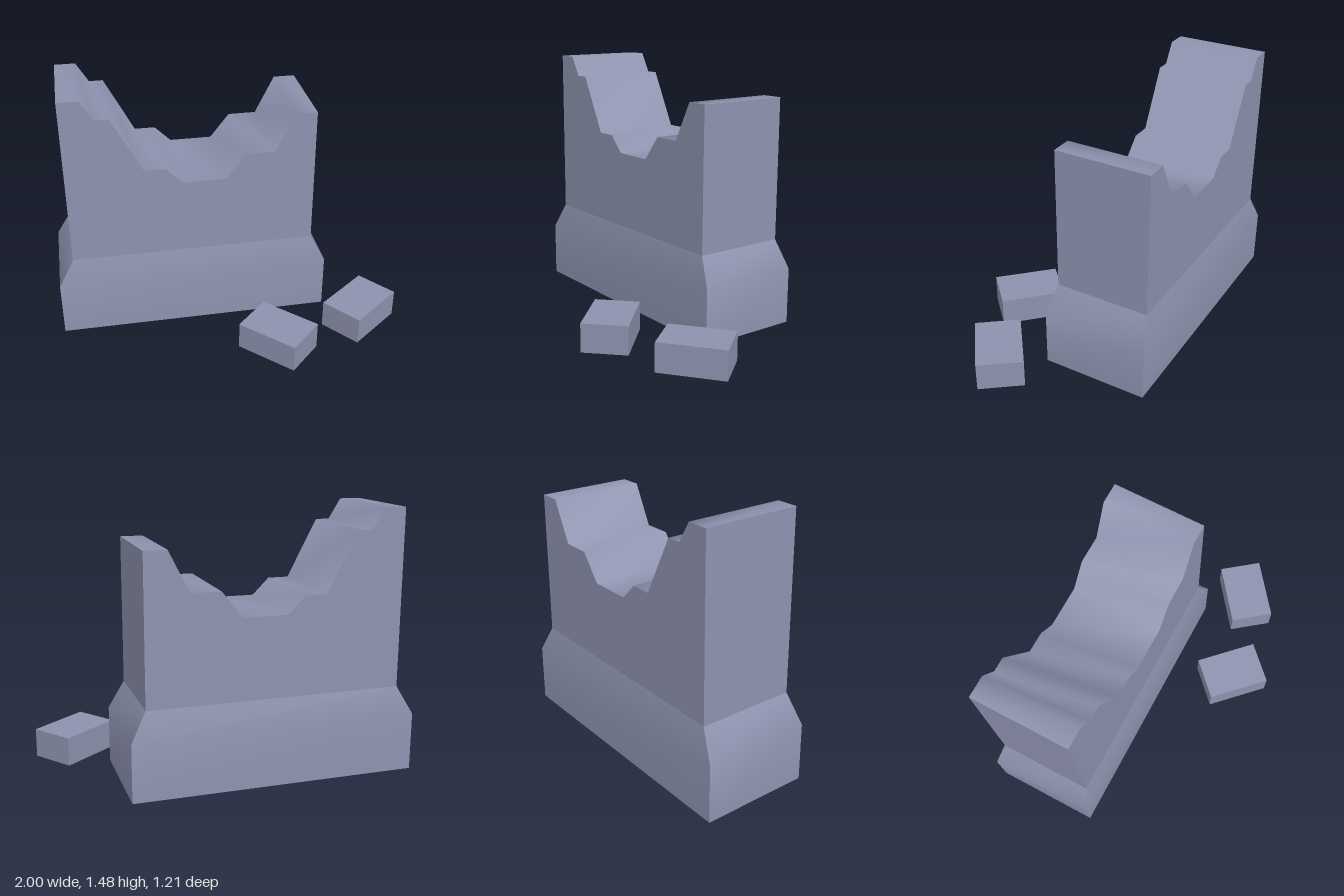
import * as THREE from 'three';
import { toCreasedNormals } from 'three/addons/utils/BufferGeometryUtils.js';

const stone = new THREE.MeshStandardMaterial({ color: 0x8d92ae });
stone.name = 'greyBlueStone';

function part(name, geometry, crease) {
  const mesh = new THREE.Mesh(toCreasedNormals(geometry, crease), stone);
  mesh.name = name;
  return mesh;
}

// Plinth: a box whose upper ring is drawn in to form a sloped shoulder
function plinth() {
  const rings = [
    { y: 0, w: 1.6, d: 0.612, x: -0.2 },
    { y: 0.325, w: 1.6, d: 0.612, x: -0.2 },
    { y: 0.485, w: 1.425, d: 0.547, x: -0.1975 },
  ];
  const g = new THREE.BoxGeometry(1, 2, 1, 1, 2, 1);
  const p = g.attributes.position;
  for (let i = 0; i < p.count; i++) {
    const r = rings[Math.round(p.getY(i) + 1)];
    p.setXYZ(i, p.getX(i) * r.w + r.x, r.y, p.getZ(i) * r.d - 0.3);
  }
  return part('plinth', g, 0.9);
}

// Wall: broken skyline extruded through the thickness
function brokenWall() {
  const outline = [
    [-0.91, 0.485], [0.515, 0.485], [0.515, 1.305], [0.39, 1.305],
    [0.275, 1.08], [0.11, 1.08], [-0.005, 0.935], [-0.255, 0.935],
    [-0.35, 1.03], [-0.47, 1.03], [-0.64, 1.36], [-0.72, 1.36],
    [-0.79, 1.475], [-0.91, 1.475],
  ];
  const shape = new THREE.Shape(outline.map(([x, y]) => new THREE.Vector2(x, y)));
  const g = new THREE.ExtrudeGeometry(shape, { depth: 0.547, bevelEnabled: false });
  g.translate(0, 0, -0.5735);
  return part('brokenWall', g, 1.2);
}

// Fallen blocks lying in front
function fallenBlock(name, x, z, turn) {
  const mesh = part(name, new THREE.BoxGeometry(0.375, 0.165, 0.26), 0.5);
  mesh.position.set(x, 0.0825, z);
  mesh.rotation.y = turn;
  return mesh;
}

export function createModel() {
  const model = new THREE.Group();
  model.name = 'ruinedWall';
  model.add(
    plinth(),
    brokenWall(),
    fallenBlock('fallenBlockMiddle', 0.23, 0.377, -Math.PI / 4),
    fallenBlock('fallenBlockLeft', 0.77, 0.213, 0.66),
  );
  return model;
}
